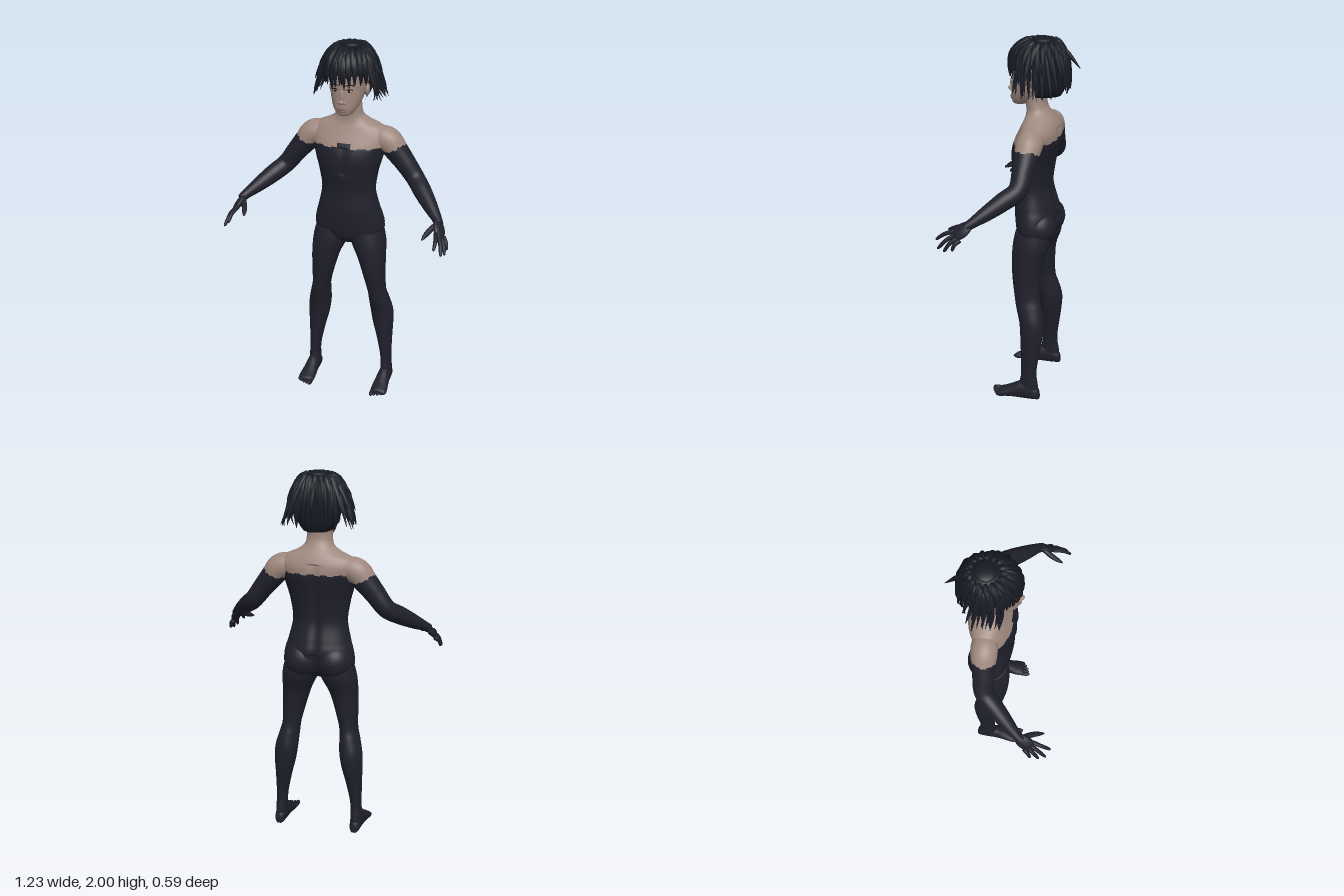
import * as THREE from 'three';
import { mergeGeometries } from 'three/addons/utils/BufferGeometryUtils.js';

const V = (x, y, z) => new THREE.Vector3(x, y, z);

// Smooth resampling of a table of numbers: m steps between rows
function spline(rows, m) {
  const out = [], at = i => rows[Math.min(rows.length - 1, Math.max(0, i))];
  for (let i = 0; i < rows.length - 1; i++) {
    for (let s = 0; s < m; s++) {
      const t = s / m;
      out.push(rows[i].map((b, k) => {
        const a = at(i - 1)[k], c = at(i + 1)[k], d = at(i + 2)[k];
        return 0.5 * (2 * b + (c - a) * t + (2 * a - 5 * b + 4 * c - d) * t * t + (3 * b - a - 3 * c + d) * t ** 3);
      }));
    }
  }
  out.push(rows[rows.length - 1].slice());
  return out;
}

// Skin closed rings into a solid; pick(point) chooses the material (-1 leaves a hole)
function loft(rings, pick = null, capped = true) {
  const n = rings[0].length, pts = rings.flat(), lists = [[], []];
  const add = (mid, ...idx) => {
    const g = pick ? pick(mid) : 0;
    if (g >= 0) lists[g].push(...idx);
  };
  for (let j = 0; j < rings.length - 1; j++) {
    for (let i = 0; i < n; i++) {
      const a = j * n + i, b = j * n + (i + 1) % n, c = b + n, d = a + n;
      add(pts[a].clone().add(pts[c]).multiplyScalar(0.5), a, d, c, a, c, b);
    }
  }
  if (capped) [0, rings.length - 1].forEach((j, top) => {
    const mid = rings[j].reduce((s, p) => s.add(p), V(0, 0, 0)).divideScalar(n);
    const c = pts.push(mid) - 1;
    for (let i = 0; i < n; i++) {
      const a = j * n + i, b = j * n + (i + 1) % n;
      add(mid, c, top ? b : a, top ? a : b);
    }
  });
  const geo = new THREE.BufferGeometry().setFromPoints(pts);
  geo.setIndex([...lists[0], ...lists[1]]);
  if (lists[1].length) {
    geo.addGroup(0, lists[0].length, 0);
    geo.addGroup(lists[0].length, lists[1].length, 1);
  }
  geo.computeVertexNormals();
  return geo;
}

// Upright form from rows [y, centreX, halfWidth, frontZ, backZ], bottom to top
function upright(rows, m, seg, pick, warp, capped) {
  return loft(spline(rows, m).map(([y, cx, hx, zf, zb]) => Array.from({ length: seg }, (_, i) => {
    const a = i / seg * Math.PI * 2;
    const p = V(cx + hx * Math.cos(a), y, (zf + zb) / 2 + (zf - zb) / 2 * Math.sin(a));
    if (warp) warp(p);
    return p;
  })), pick, capped);
}

// Tapered limb from rows [x, y, z, radius]
function limb(rows, m, seg, pick) {
  const d = spline(rows, m), p = d.map(r => V(r[0], r[1], r[2]));
  let n = V(0.31, 0.2, 0.93);
  return loft(p.map((c, j) => {
    const t = p[Math.min(j + 1, p.length - 1)].clone().sub(p[Math.max(j - 1, 0)]).normalize();
    n = n.clone().addScaledVector(t, -n.dot(t)).normalize();
    const b = t.clone().cross(n);
    return Array.from({ length: seg }, (_, i) => {
      const a = i / seg * Math.PI * 2;
      return c.clone().addScaledVector(n, d[j][3] * Math.cos(a)).addScaledVector(b, -d[j][3] * Math.sin(a));
    });
  }), pick);
}

const ball = (x, y, z, rx, ry, rz) => new THREE.SphereGeometry(1, 24, 16).scale(rx, ry, rz).translate(x, y, z);

function mirrored(geo) {
  const g = geo.clone().scale(-1, 1, 1), ix = g.index.array;
  for (let i = 0; i < ix.length; i += 3) [ix[i], ix[i + 1]] = [ix[i + 1], ix[i]];
  return g;
}

export function createModel() {
  const model = new THREE.Group();
  const material = (name, color, extra) => Object.assign(new THREE.MeshStandardMaterial({ color, ...extra }), { name });
  const suit = material('dark suit', 0x20202c), skin = material('skin', 0x9f897f);
  const hair = material('hair', 0x171a23, { side: THREE.DoubleSide });
  const lip = material('lips', 0x80625b), white = material('eye white', 0xaaa19c), iris = material('iris', 0x1c1515);
  const part = (name, geo, mat) => {
    const mesh = new THREE.Mesh(geo, mat);
    mesh.name = name;
    model.add(mesh);
  };
  const pair = (name, geo, mat) => {
    part('left' + name, geo, mat);
    part('right' + name, mirrored(geo), mat);
  };

  // Torso and neck, with a ragged upper edge to the suit
  const torsoPick = p => {
    const tab = Math.abs(p.x) < 0.032 && p.z > -0.05;
    const edge = tab ? 1.475 : (p.z > -0.08 ? 1.452 : 1.468) + 0.004 * Math.sign(Math.sin(p.x * 85));
    return p.y > edge ? 1 : 0;
  };
  const torsoWarp = p => {
    if (p.z < -0.1 && p.y < 1.52) p.z += (p.y < 1.03 ? 0.03 : 0.013) * Math.exp(-((p.x / 0.024) ** 2));
    if (p.z > 0 && p.y > 1.3 && p.y < 1.45) p.z -= 0.008 * Math.exp(-((p.x / 0.02) ** 2));
  };
  part('torso', upright([
    [0.885, 0, 0.07, -0.02, -0.13], [0.92, 0, 0.15, 0.012, -0.17], [0.96, 0, 0.192, 0.025, -0.187],
    [1.0, 0, 0.195, 0.032, -0.195], [1.05, 0, 0.185, 0.037, -0.195], [1.1, 0, 0.17, 0.04, -0.182],
    [1.2, 0, 0.15, 0.036, -0.157], [1.3, 0, 0.163, 0.05, -0.166], [1.36, 0, 0.178, 0.057, -0.177],
    [1.41, 0, 0.192, 0.052, -0.188], [1.46, 0, 0.208, 0.036, -0.196], [1.51, 0, 0.215, 0.012, -0.194],
    [1.55, 0, 0.185, -0.006, -0.18], [1.58, 0, 0.12, -0.016, -0.163], [1.61, 0, 0.08, -0.018, -0.142],
    [1.65, 0, 0.069, -0.014, -0.126], [1.72, 0, 0.066, -0.01, -0.125],
  ], 9, 72, torsoPick, torsoWarp), [suit, skin]);
  pair('Buttock', ball(0.087, 0.985, -0.11, 0.1, 0.1, 0.096), suit);

  // Legs
  pair('Leg', upright([
    [0.04, 0.217, 0.03, -0.045, -0.15], [0.09, 0.217, 0.031, -0.042, -0.146], [0.14, 0.215, 0.03, -0.05, -0.138],
    [0.2, 0.211, 0.034, -0.05, -0.14], [0.3, 0.201, 0.046, -0.045, -0.155], [0.38, 0.192, 0.058, -0.04, -0.166],
    [0.46, 0.184, 0.063, -0.032, -0.17], [0.54, 0.172, 0.056, -0.01, -0.152], [0.6, 0.162, 0.051, 0.002, -0.136],
    [0.7, 0.148, 0.063, 0.017, -0.136], [0.8, 0.132, 0.079, 0.025, -0.146], [0.89, 0.109, 0.098, 0.024, -0.178],
    [0.96, 0.1, 0.092, 0.012, -0.18],
  ], 5, 32), suit);

  // Feet: cross-sections [z, centreX, halfWidth, height] from heel to ball, then toes
  const foot = loft(spline([
    [-0.156, 0.217, 0.012, 0.035], [-0.145, 0.217, 0.025, 0.065], [-0.1, 0.217, 0.033, 0.1], [-0.05, 0.217, 0.036, 0.1],
    [0, 0.217, 0.041, 0.072], [0.04, 0.218, 0.046, 0.05], [0.075, 0.218, 0.045, 0.034], [0.085, 0.218, 0.04, 0.024],
  ], 4).map(([z, cx, hx, h]) => Array.from({ length: 28 }, (_, i) => {
    const a = i / 28 * Math.PI * 2, s = -Math.sin(a);
    return V(cx + hx * Math.cos(a), Math.max(0.003, h * (0.45 + 0.55 * s)), z);
  })));
  const toes = [0, 1, 2, 3, 4].map(i => ball(0.186 + i * 0.0175, 0.014, 0.092 - i * i * 0.002,
    i ? 0.009 : 0.013, i ? 0.012 : 0.014, i ? 0.027 : 0.03));
  pair('Foot', foot, suit);
  pair('Toes', mergeGeometries(toes), suit);

  // Arms
  pair('Arm', limb([
    [0.11, 1.495, -0.092, 0.05], [0.17, 1.492, -0.092, 0.066], [0.215, 1.475, -0.092, 0.069], [0.25, 1.432, -0.09, 0.064],
    [0.305, 1.365, -0.087, 0.056], [0.365, 1.287, -0.078, 0.05], [0.422, 1.24, -0.018, 0.048],
    [0.485, 1.19, 0.053, 0.038], [0.53, 1.155, 0.105, 0.027], [0.55, 1.135, 0.135, 0.024],
  ], 8, 36, p => p.y > 1.425 + Math.max(0, p.x - 0.2) * 0.42 + 0.004 * Math.sign(Math.sin(p.z * 90)) ? 1 : 0), [suit, skin]);

  // Hands: flat palm along the forearm, four fingers and a thumb
  const along = V(0.05, -0.11, 0.13).normalize();
  const across = V(0.036, -0.03, -0.05).addScaledVector(along, -V(0.036, -0.03, -0.05).dot(along)).normalize();
  const palm = new THREE.SphereGeometry(1, 24, 16).scale(0.039, 0.018, 0.062)
    .applyMatrix4(new THREE.Matrix4().makeBasis(across, along.clone().cross(across), along).setPosition(0.557, 1.115, 0.155));
  const tips = [[0.564, 1.057, 0.293], [0.598, 1.022, 0.272], [0.609, 1.014, 0.236], [0.611, 1.024, 0.192]];
  const fingers = tips.map((tip, i) => {
    const a = V(0.55, 1.108, 0.195).lerp(V(0.583, 1.075, 0.155), i / 3), b = V(...tip);
    const mid = a.clone().lerp(b, 0.5).add(V(0.004, 0.006, 0.004));
    return limb([[...a, 0.012], [...mid, 0.0105], [...a.clone().lerp(b, 0.9), 0.008], [...b, 0.003]], 4, 12);
  });
  const thumb = limb([[0.54, 1.135, 0.14, 0.016], [0.513, 1.115, 0.185, 0.015], [0.498, 1.098, 0.225, 0.011],
    [0.49, 1.088, 0.25, 0.004]], 4, 12);
  pair('Palm', palm, suit);
  pair('Fingers', mergeGeometries([...fingers, thumb]), suit);

  // Head
  part('head', upright([
    [1.636, 0, 0.022, 0.05, 0.0], [1.645, 0, 0.042, 0.06, -0.03], [1.67, 0, 0.062, 0.066, -0.075],
    [1.7, 0, 0.077, 0.066, -0.12], [1.74, 0, 0.089, 0.065, -0.16], [1.78, 0, 0.096, 0.064, -0.19],
    [1.83, 0, 0.1, 0.064, -0.2], [1.88, 0, 0.097, 0.052, -0.2], [1.93, 0, 0.075, 0.02, -0.17], [1.96, 0, 0.03, -0.04, -0.12],
  ], 5, 40), skin);
  pair('Ear', ball(0.098, 1.755, -0.07, 0.012, 0.033, 0.02), skin);
  part('nose', mergeGeometries([ball(0, 1.742, 0.064, 0.011, 0.036, 0.011), ball(0, 1.716, 0.07, 0.014, 0.012, 0.016),
    ball(0.014, 1.712, 0.064, 0.01, 0.009, 0.011), ball(-0.014, 1.712, 0.064, 0.01, 0.009, 0.011)]), skin);
  part('lips', mergeGeometries([ball(0, 1.677, 0.061, 0.025, 0.006, 0.011), ball(0, 1.666, 0.06, 0.021, 0.007, 0.012)]), lip);
  pair('Eye', ball(0.037, 1.773, 0.05, 0.016, 0.008, 0.008), white);
  pair('Iris', ball(0.037, 1.773, 0.055, 0.007, 0.007, 0.005), iris);
  pair('Eyelashes', limb([[0.02, 1.777, 0.058, 0.002], [0.037, 1.783, 0.057, 0.003], [0.055, 1.777, 0.046, 0.002]], 4, 6), iris);
  pair('Eyebrow', limb([[0.015, 1.8, 0.062, 0.002], [0.037, 1.806, 0.055, 0.004], [0.062, 1.8, 0.038, 0.002]], 4, 8), hair);

  // Hair cap, open at the face
  const capRows = [[1.695, 0, 0.08, 0.03, -0.2], [1.74, 0, 0.108, 0.045, -0.222], [1.82, 0, 0.125, 0.064, -0.23],
    [1.88, 0, 0.125, 0.064, -0.225], [1.93, 0, 0.11, 0.045, -0.208], [1.965, 0, 0.083, 0.0, -0.183],
    [1.982, 0, 0.05, -0.05, -0.155], [1.986, 0, 0.01, -0.09, -0.11]];
  part('hairCap', upright(capRows, 6, 48, p => p.z > -0.085 && p.y < 1.85 ? -1 : 0, null, false), hair);
  part('crown', ball(0, 1.982, -0.103, 0.056, 0.018, 0.056), hair);

  // Locks: rows starting further down the cap, flaring at the sides
  let seed = 7;
  const rnd = () => (seed = seed * 16807 % 2147483647) / 2147483647;
  const capDense = spline(capRows, 8);
  const onCap = (phi, y, off) => {
    const r = capDense.reduce((best, q) => Math.abs(q[0] - y) < Math.abs(best[0] - y) ? q : best);
    return [(r[2] + off) * Math.sin(phi), y, (r[3] + r[4]) / 2 + ((r[3] - r[4]) / 2 + off) * Math.cos(phi)];
  };
  const locks = [];
  // [count, startY, endY, thickness, flare]
  [[16, 1.979, 1.925, 0.016, 0.012], [22, 1.972, 1.86, 0.015, 0.025], [26, 1.955, 1.79, 0.0135, 0.05],
    [32, 1.93, 1.72, 0.012, 0.075]].forEach(([count, y0, y1, thick, flare], row) => {
    for (let i = 0; i < count; i++) {
      const phi = (i + 0.5 * (row % 2) + 0.3 * rnd()) / count * Math.PI * 2;
      const side = Math.abs(Math.sin(phi)) ** 2, front = Math.cos(phi) > 0.45;
      let end = y1 + (rnd() - 0.5) * 0.04;
      if (front) end = Math.max(end, 1.765 + 0.05 * rnd());
      const out = front ? 0.008 : flare * (0.3 + 0.9 * side) * (0.6 + 0.6 * rnd());
      const rows = [0, 0.2, 0.45, 0.7, 0.88, 1].map((t, k) => [
        ...onCap(phi, y0 + (end - y0) * t ** 1.25, 0.004 + out * t * t),
        thick * [0.6, 1, 0.95, 0.75, 0.4, 0.1][k]]);
      locks.push(limb(rows, 2, 7));
    }
  });
  // Long thin strands at the temples and one stray lock behind
  for (const s of [-1, 1]) {
    for (let i = 0; i < 7; i++) {
      const z = -0.14 + i * 0.022, w = 0.03 * rnd();
      locks.push(limb([[s * 0.1, 1.925, z, 0.008], [s * 0.142, 1.87, z, 0.009], [s * (0.176 - w), 1.79, z, 0.007],
        [s * (0.208 - w), 1.705 + 0.03 * rnd(), z - 0.01, 0.001]], 4, 6));
    }
  }
  locks.push(limb([[-0.01, 1.95, -0.19, 0.012], [-0.015, 1.91, -0.235, 0.013], [-0.02, 1.84, -0.295, 0.002]], 4, 7));
  part('hairLocks', mergeGeometries(locks), hair);

  return model;
}
